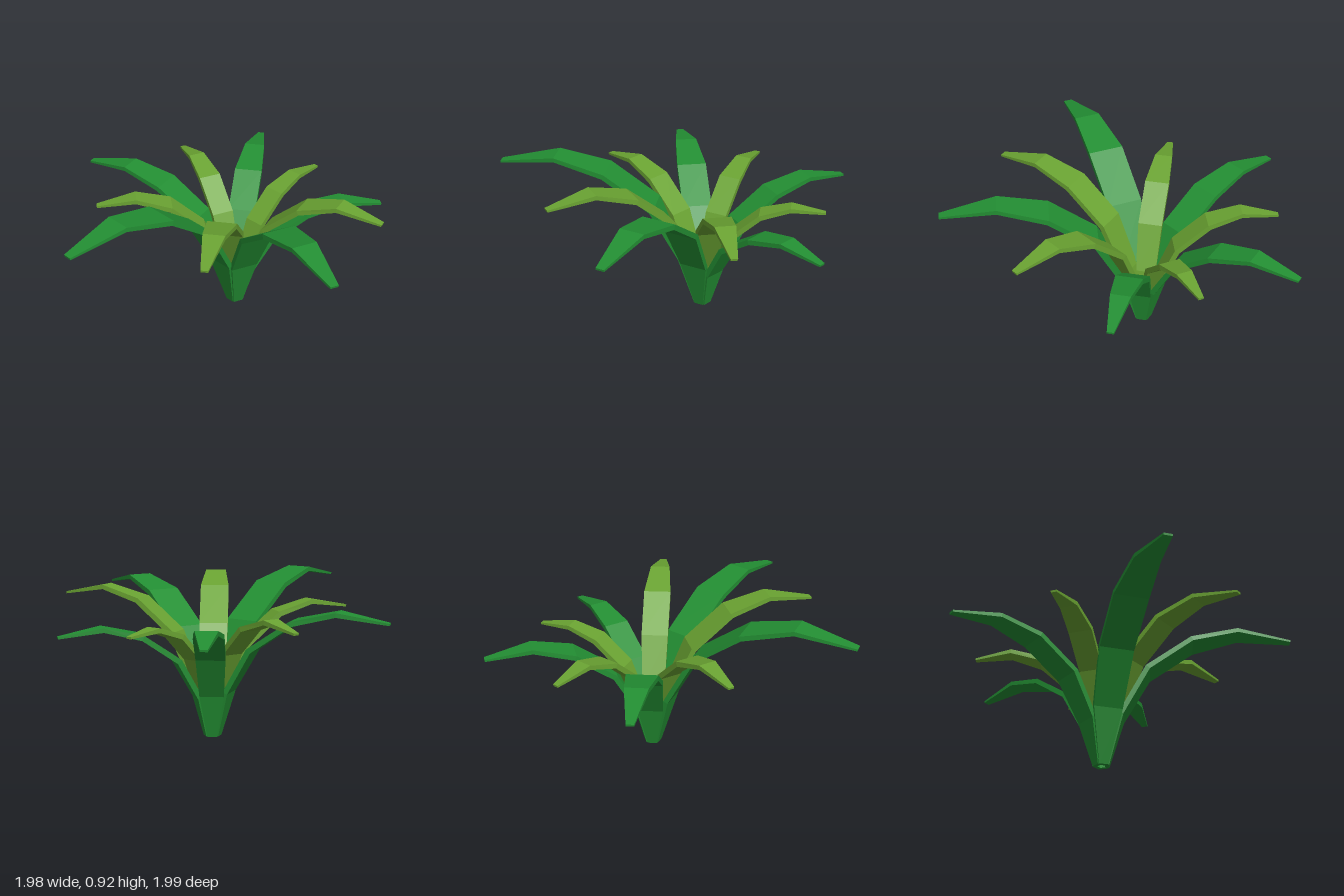
import * as THREE from 'three';

// Common centre of the rosette
const CX = 0.112, CZ = -0.143;

// Cross-sections along a leaf: reach and width as shares of its length, height as a share of its peak
const REACH = [0.1, 0.24, 0.475, 0.72];
const RISE = [0.36, 0.7, 0.92, 1];
const WIDTH = [0.145, 0.173, 0.175, 0.128, 0.042];
const THICK = [0.024, 0.03, 0.032, 0.03, 0.026, 0.012];

// One arching, box-section leaf from the base to (tipX, tipY, tipZ)
function leafGeometry(tipX, tipY, tipZ, peak, base) {
  const out = new THREE.Vector3(tipX - CX, 0, tipZ - CZ);
  const length = out.length();
  out.normalize();
  const up = new THREE.Vector3(0, 1, 0);
  const side = new THREE.Vector3().crossVectors(up, out);

  const path = [
    new THREE.Vector2(base.r, base.y),
    ...REACH.map((f, i) => new THREE.Vector2(f * length, RISE[i] * (peak - 0.012))),
    new THREE.Vector2(length, tipY),
  ];
  const widths = [base.width, ...WIDTH.map((w) => w * length)];

  const positions = [];
  path.forEach((p, i) => {
    // Foot stays level; other sections stand square to the curve
    const t = i === 0
      ? new THREE.Vector2(0, 1)
      : path[Math.min(i + 1, path.length - 1)].clone().sub(path[i - 1]).normalize();
    const corners = [[-1, -1], [1, -1], [1, 1], [-1, 1]];
    for (const [sx, sy] of corners) {
      const h = (sy * THICK[i]) / 2;
      const v = new THREE.Vector3(CX, 0, CZ)
        .addScaledVector(out, p.x - t.y * h)
        .addScaledVector(up, p.y + t.x * h)
        .addScaledVector(side, (sx * widths[i]) / 2);
      positions.push(v.x, v.y, v.z);
    }
  });

  const index = [0, 2, 1, 0, 3, 2];
  for (let i = 0; i < path.length - 1; i++) {
    for (let j = 0; j < 4; j++) {
      const k = (j + 1) % 4;
      const a = i * 4 + j, b = i * 4 + k, c = b + 4, d = a + 4;
      index.push(a, b, c, a, c, d);
    }
  }
  const e = (path.length - 1) * 4;
  index.push(e, e + 1, e + 2, e, e + 2, e + 3);

  const indexed = new THREE.BufferGeometry();
  indexed.setAttribute('position', new THREE.Float32BufferAttribute(positions, 3));
  indexed.setIndex(index);
  const geometry = indexed.toNonIndexed();
  geometry.computeVertexNormals();
  return geometry;
}

function leafRing(name, leafName, leaves, base, material) {
  const ring = new THREE.Group();
  ring.name = name;
  leaves.forEach(([x, y, z, peak], i) => {
    const leaf = new THREE.Mesh(leafGeometry(x, y, z, peak, base), material);
    leaf.name = `${leafName}${i + 1}`;
    ring.add(leaf);
  });
  return ring;
}

export function createModel() {
  const darkGreen = new THREE.MeshStandardMaterial({ color: 0x238f33, flatShading: true });
  darkGreen.name = 'dark green';
  const lightGreen = new THREE.MeshStandardMaterial({ color: 0x6aa332, flatShading: true });
  lightGreen.name = 'light green';

  // Each leaf: tip x, tip y, tip z, peak height
  const outer = [
    [0.275, 0.8, 0.99, 0.865],
    [-0.975, 0.845, 0.39, 0.915],
    [-0.595, 0.7, -0.88, 0.755],
    [0.56, 0.66, -0.99, 0.715],
    [0.985, 0.61, -0.005, 0.66],
  ];
  const inner = [
    [0.755, 0.797, 0.505, 0.855],
    [-0.33, 0.837, 0.715, 0.89],
    [-0.69, 0.728, -0.275, 0.775],
    [-0.002, 0.69, -0.905, 0.74],
    [0.745, 0.66, -0.465, 0.69],
  ];

  const plant = new THREE.Group();
  plant.name = 'plant';
  plant.add(
    leafRing('outerLeaves', 'outerLeaf', outer, { r: 0.033, y: 0, width: 0.056 }, darkGreen),
    leafRing('innerLeaves', 'innerLeaf', inner, { r: 0.042, y: 0.1, width: 0.05 }, lightGreen),
  );
  return plant;
}
